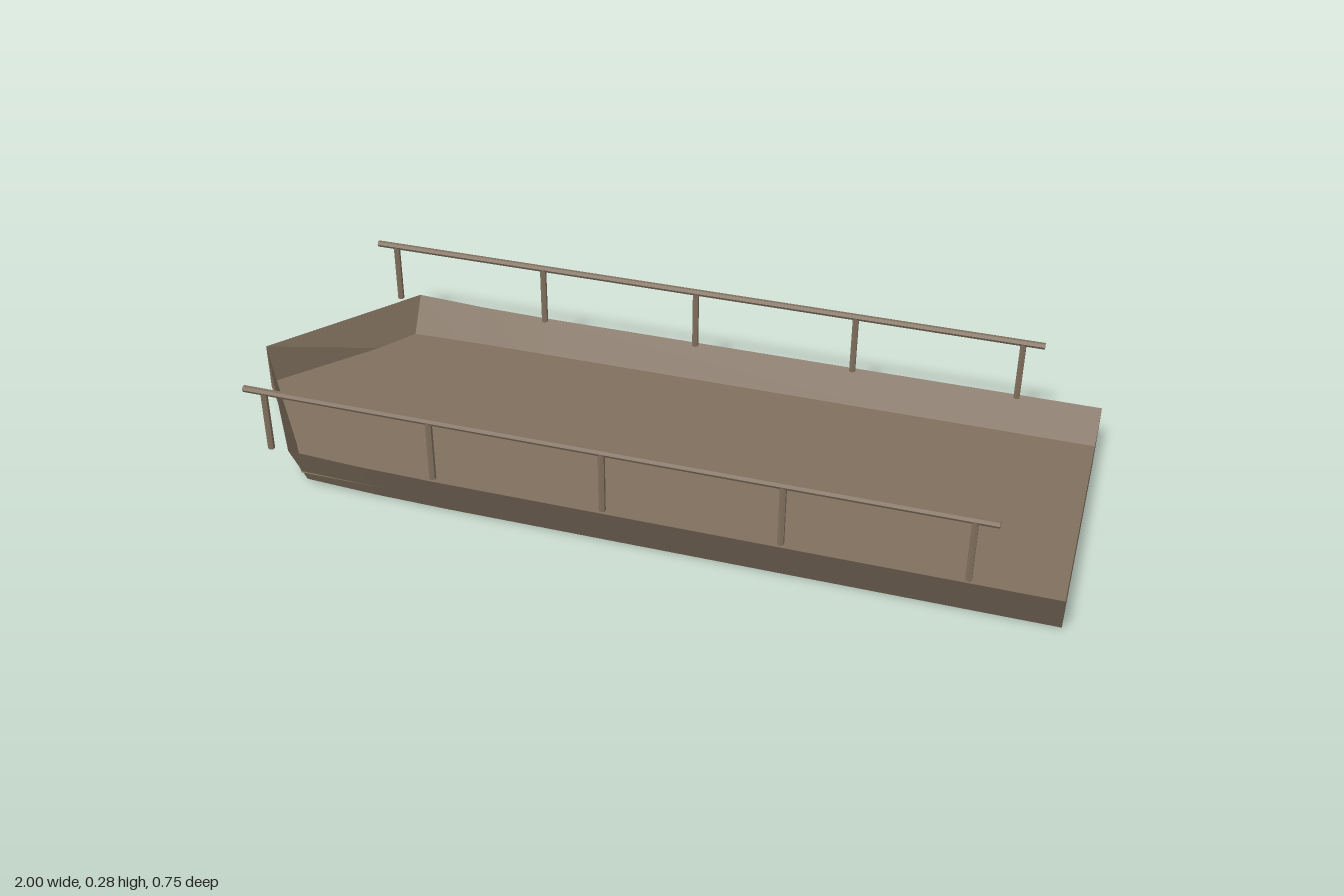
import * as THREE from 'three';

const wood = new THREE.MeshStandardMaterial({ color: 0x80705e, side: THREE.DoubleSide, flatShading: true });
wood.name = 'weathered wood';

function addMesh(parent, name, geometry) {
  const mesh = new THREE.Mesh(geometry, wood);
  mesh.name = name;
  parent.add(mesh);
  return mesh;
}

// Open shell from a list of triangles, each with three [x, y, z] corners
function shell(triangles) {
  const g = new THREE.BufferGeometry();
  g.setAttribute('position', new THREE.Float32BufferAttribute(triangles.flat(2), 3));
  g.computeVertexNormals();
  return g;
}

// Cross-section of the hull: the floor rises towards the bow, which ends in a point
function station(x) {
  const rise = x < -0.4 ? 0.03 * ((-0.4 - x) / 0.6) ** 2 : 0;
  const taper = x < -0.75 ? (x + 1) / 0.25 : 1;
  const bottom = (s) => [x, rise, s * 0.306 * taper];
  const top = (s) => [x, rise + (x < -0.75 ? 0.12 : 0.125), s * 0.375 * taper];
  return { bottom, top };
}

function hullGeometry() {
  const stations = [1, -0.4, -0.575, -0.75, -1].map(station);
  const tris = [];
  for (let i = 0; i + 1 < stations.length; i++) {
    const a = stations[i], b = stations[i + 1];
    // Floor
    tris.push([a.bottom(1), b.bottom(1), b.bottom(-1)]);
    tris.push([a.bottom(1), b.bottom(-1), a.bottom(-1)]);
    // Flared sides, folded from the lower shoulder to the top of the bow
    for (const s of [1, -1]) {
      const lower = [a.bottom(s), b.top(s), b.bottom(s)];
      const upper = [a.bottom(s), a.top(s), b.top(s)];
      for (const t of [lower, upper]) tris.push(s > 0 ? t : t.reverse());
    }
  }
  // Flat stern
  const e = stations[0];
  tris.push([e.bottom(1), e.bottom(-1), e.top(-1)], [e.bottom(1), e.top(-1), e.top(1)]);
  return shell(tris);
}

export function createModel() {
  const model = new THREE.Group();
  model.name = 'barge';

  addMesh(model, 'hull', hullGeometry());

  // Flat inner deck with a pointed end
  const y = 0.045, w = 0.33;
  const sternL = [1, y, w], sternR = [1, y, -w];
  const bowL = [-0.75, y, w], bowR = [-0.75, y, -w], tip = [-1, y, 0];
  addMesh(model, 'deck', shell([
    [sternL, sternR, bowR], [sternL, bowR, bowL], [bowL, bowR, tip],
  ]));

  // Railing on each side: a long handrail on five posts
  const postGeometry = new THREE.CylinderGeometry(0.008, 0.008, 0.15, 6);
  const railGeometry = new THREE.CylinderGeometry(0.008, 0.008, 1.7, 6).rotateZ(Math.PI / 2);
  for (const s of [1, -1]) {
    const railing = new THREE.Group();
    railing.name = s > 0 ? 'frontRailing' : 'backRailing';
    addMesh(railing, 'handrail', railGeometry).position.set(0, 0.277, s * 0.362);
    for (let i = -2; i <= 2; i++) {
      addMesh(railing, 'post', postGeometry).position.set(i * 0.4, 0.2, s * 0.362);
    }
    model.add(railing);
  }
  return model;
}
